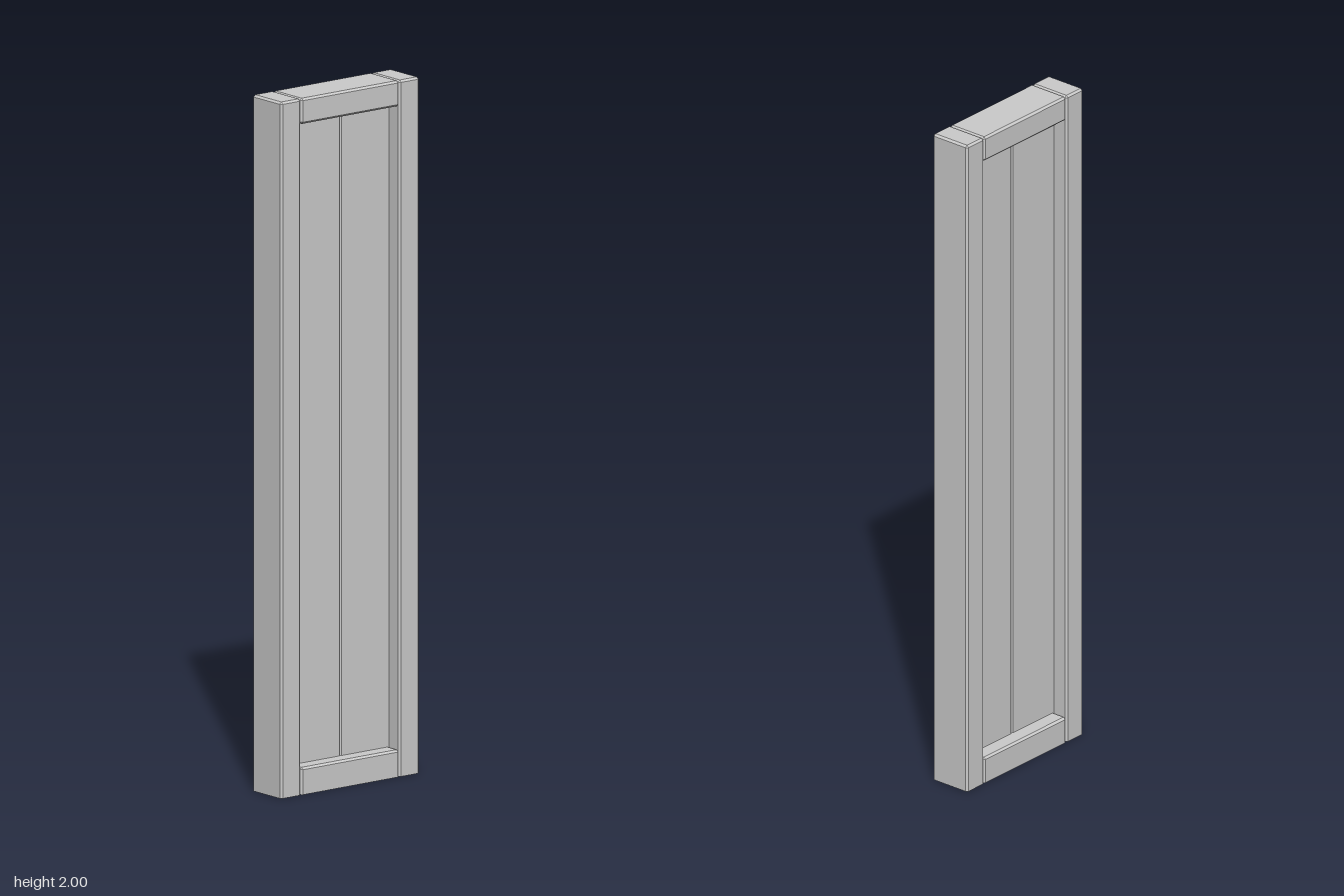
import * as THREE from 'three';

const material = new THREE.MeshStandardMaterial({ color: 0xcccccc, flatShading: true, side: THREE.DoubleSide });

// Chamfered bar built from stacked eight-sided sections; the bottom may be left open
function bar(name, x0, x1, y0, y1, z0, z1, c, openBottom = false) {
  const section = (y, inset) => {
    const a = x0 + inset, b = x1 - inset, e = z0 + inset, f = z1 - inset;
    const k = inset ? 0 : c;
    return [
      [a + k, y, f], [b - k, y, f], [b, y, f - k], [b, y, e + k],
      [b - k, y, e], [a + k, y, e], [a, y, e + k], [a, y, f - k],
    ];
  };
  const rings = [section(y1 - c, 0), section(y1, c)];
  if (openBottom) rings.unshift(section(y0, 0));
  else rings.unshift(section(y0, c), section(y0 + c, 0));

  const pos = [];
  const tri = (p, q, r) => pos.push(...p, ...q, ...r);
  for (let i = 0; i < rings.length - 1; i++) {
    for (let j = 0; j < 8; j++) {
      const n = (j + 1) % 8, lo = rings[i], hi = rings[i + 1];
      tri(lo[j], lo[n], hi[n]);
      tri(lo[j], hi[n], hi[j]);
    }
  }
  const top = rings[rings.length - 1], bottom = rings[0];
  for (let j = 1; j < 7; j++) {
    tri(top[0], top[j], top[j + 1]);
    if (!openBottom) tri(bottom[0], bottom[j + 1], bottom[j]);
  }
  const geometry = new THREE.BufferGeometry();
  geometry.setAttribute('position', new THREE.Float32BufferAttribute(pos, 3));
  geometry.computeVertexNormals();
  const mesh = new THREE.Mesh(geometry, material);
  mesh.name = name;
  return mesh;
}

export function createModel() {
  const group = new THREE.Group();
  group.name = 'panelledDoor';
  const W = 0.25, D = 0.064, inner = 0.177, c = 0.006;

  // Upright stiles on both sides, open underneath
  group.add(bar('leftStile', inner, W, 0, 2, -D, D, c, true));
  group.add(bar('rightStile', -W, -inner, 0, 2, -D, D, c, true));

  // Cross rails between the stiles
  group.add(bar('topRail', -inner, inner, 1.926, 2, -D, D, c));
  group.add(bar('bottomRail', -inner, inner, 0, 0.078, -D, D, c, true));

  // Two recessed boards meeting in a chamfered groove
  const t = 0.017;
  group.add(bar('leftBoard', 0.002, inner + 0.006, 0.06, 1.94, -t, t, 0.004));
  group.add(bar('rightBoard', -inner - 0.006, 0.002, 0.06, 1.94, -t, t, 0.004));

  return group;
}
